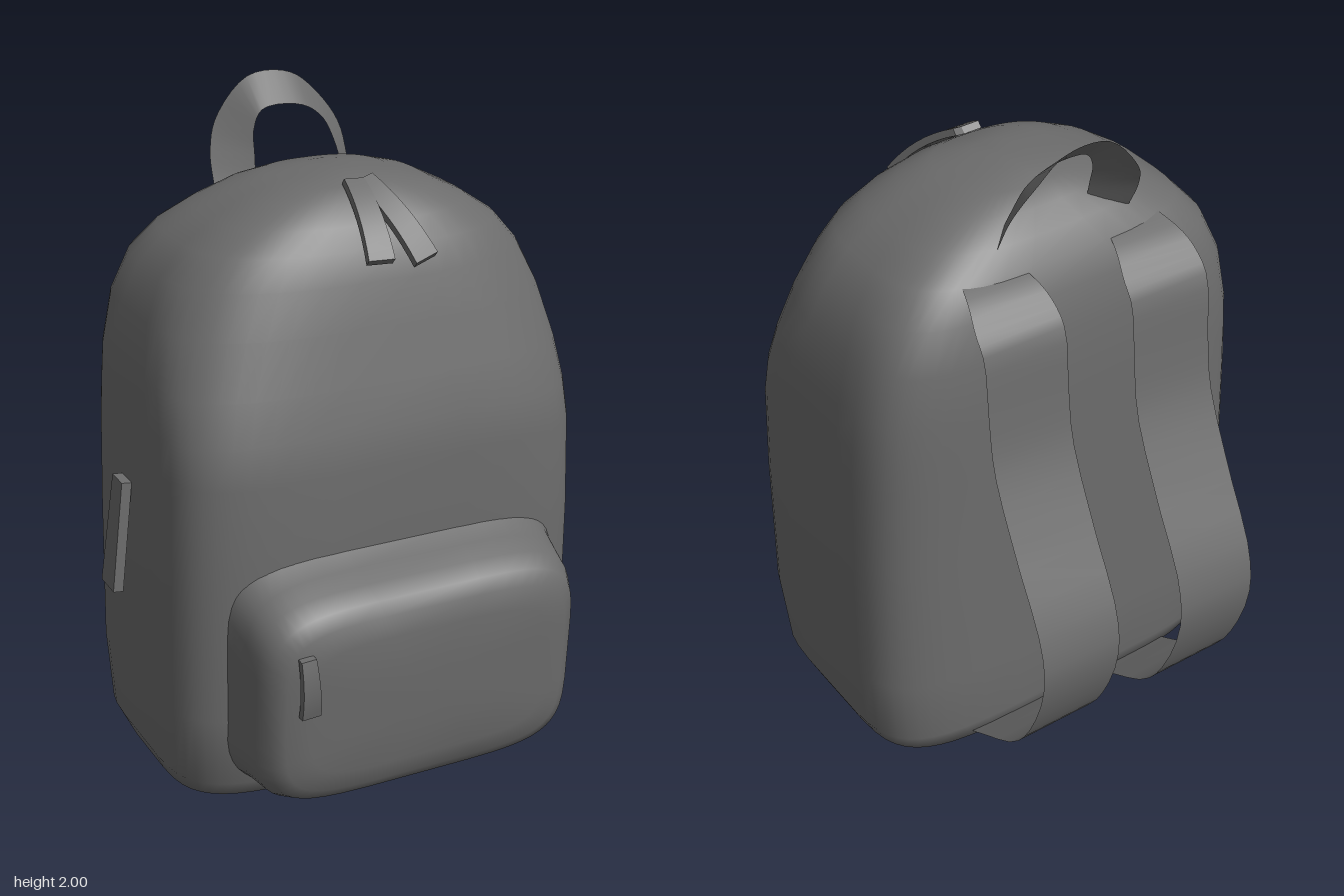
import * as THREE from 'three';

const material = new THREE.MeshStandardMaterial({ color: 0x6c6c6c });
const thinMaterial = new THREE.MeshStandardMaterial({ color: 0x6c6c6c, side: THREE.DoubleSide });
const V = (x, y, z) => new THREE.Vector3(x, y, z);
const MIDDLE = 0.03; // the pack's own centre line

function mesh(name, geometry, mat = material) {
  const m = new THREE.Mesh(geometry, mat);
  m.name = name;
  return m;
}

function indexed(points, index) {
  const g = new THREE.BufferGeometry().setFromPoints(points);
  g.setIndex(index);
  g.computeVertexNormals();
  return g;
}

// rounded-rectangle loop in unit size; a larger power gives squarer corners
function loop(frontPower, backPower, place, n = 48) {
  return Array.from({ length: n }, (_, i) => {
    const t = ((i + 0.5) / n) * Math.PI * 2;
    const power = Math.sin(t) > 0 ? frontPower : backPower;
    const soft = (v) => Math.sign(v) * Math.pow(Math.abs(v), 2 / power);
    return place(soft(Math.cos(t)), soft(Math.sin(t)));
  });
}

// smooth skin over a stack of loops, closed at both ends
function loft(rings) {
  const n = rings[0].length;
  const points = rings.flat();
  const index = [];
  for (let r = 0; r < rings.length - 1; r++) {
    for (let i = 0; i < n; i++) {
      const a = r * n + i, b = r * n + ((i + 1) % n);
      index.push(a, a + n, b, b, a + n, b + n);
    }
  }
  const centre = (ring) => ring.reduce((s, p) => s.add(p), V(0, 0, 0)).divideScalar(n);
  const first = points.push(centre(rings[0])) - 1;
  const last = points.push(centre(rings[rings.length - 1])) - 1;
  const top = (rings.length - 1) * n;
  for (let i = 0; i < n; i++) {
    const j = (i + 1) % n;
    index.push(first, i, j, last, top + j, top + i);
  }
  return indexed(points, index);
}

// flat webbing between two edge curves
function ribbon(edgeA, edgeB, steps = 33) {
  const a = new THREE.CatmullRomCurve3(edgeA), b = new THREE.CatmullRomCurve3(edgeB);
  const points = [], index = [];
  for (let i = 0; i <= steps; i++) {
    points.push(a.getPoint(i / steps), b.getPoint(i / steps));
    if (i < steps) {
      const k = i * 2;
      index.push(k, k + 2, k + 1, k + 1, k + 2, k + 3);
    }
  }
  return indexed(points, index);
}

// slightly bowed zip tag hanging from one point to another, facing outward
function zipPull(name, top, bottom, outward, width, thickness, bow) {
  const length = top.distanceTo(bottom);
  const g = new THREE.BoxGeometry(width, length, thickness, 1, 8, 1);
  const p = g.attributes.position;
  for (let i = 0; i < p.count; i++) {
    const s = (2 * p.getY(i)) / length;
    p.setZ(i, p.getZ(i) + bow * (1 - s * s));
    p.setX(i, p.getX(i) * (0.92 - 0.12 * s));
  }
  g.computeVertexNormals();
  const up = top.clone().sub(bottom).normalize();
  const side = up.clone().cross(outward).normalize();
  const m = mesh(name, g);
  m.quaternion.setFromRotationMatrix(new THREE.Matrix4().makeBasis(side, up, side.clone().cross(up)));
  m.position.copy(top).add(bottom).multiplyScalar(0.5);
  return m;
}

export function createModel() {
  const pack = new THREE.Group();
  pack.name = 'backpack';

  // main body: height, half width, back, front, squareness of front and of back
  const bodyRows = [
    [0.0, 0.1, -0.05, 0.17, 2.5, 2.5], [0.015, 0.38, -0.2, 0.26, 3.2, 3.2], [0.04, 0.54, -0.28, 0.33, 4, 4],
    [0.075, 0.6, -0.33, 0.39, 4.5, 4.5], [0.15, 0.635, -0.355, 0.45, 4.8, 4.8], [0.37, 0.65, -0.36, 0.475, 5, 5],
    [0.8, 0.645, -0.355, 0.48, 5, 5], [1.07, 0.637, -0.355, 0.478, 4.9, 5], [1.18, 0.63, -0.355, 0.465, 4.6, 5],
    [1.3, 0.62, -0.355, 0.435, 4, 4.9], [1.45, 0.59, -0.35, 0.4, 3.3, 4.7], [1.57, 0.54, -0.325, 0.37, 2.9, 4.4],
    [1.65, 0.47, -0.285, 0.34, 2.9, 4], [1.71, 0.38, -0.24, 0.3, 2.9, 3.5], [1.76, 0.28, -0.19, 0.25, 2.8, 3],
    [1.79, 0.18, -0.13, 0.2, 2.7, 2.7], [1.805, 0.07, -0.05, 0.12, 2.4, 2.4],
  ];
  pack.add(mesh('body', loft(bodyRows.map(([y, w, back, front, frontPower, backPower]) =>
    loop(frontPower, backPower, (c, s) =>
      V(MIDDLE + c * w, y, (back + front) / 2 + (s * (front - back)) / 2))))));

  // front pocket: depth, half width, bottom, top; flares where it sinks into the body
  const pocketRows = [
    [0.36, 0.545, 0.12, 0.91], [0.43, 0.525, 0.125, 0.88], [0.47, 0.513, 0.13, 0.845],
    [0.52, 0.505, 0.13, 0.815], [0.58, 0.497, 0.135, 0.79], [0.63, 0.475, 0.155, 0.76],
    [0.655, 0.44, 0.19, 0.72], [0.67, 0.37, 0.25, 0.66], [0.675, 0.2, 0.36, 0.55],
  ];
  pack.add(mesh('frontPocket', loft(pocketRows.map(([z, w, low, high]) =>
    loop(5, 5, (c, s) => {
      const y = (low + high) / 2 - (s * (high - low)) / 2;
      return V(MIDDLE + c * w, y, z + (z > 0.5 ? (y - 0.5) * 0.06 : 0));
    })))));

  // shoulder straps: height, depth and share of the full width
  const strapPath = [
    [1.66, -0.25, 0.65], [1.625, -0.335, 0.85], [1.58, -0.385, 0.97], [1.52, -0.43, 1], [1.35, -0.45, 1],
    [1.18, -0.475, 1], [0.95, -0.575, 1], [0.72, -0.69, 1], [0.57, -0.71, 1], [0.37, -0.65, 1],
    [0.24, -0.565, 1], [0.14, -0.41, 1], [0.065, -0.28, 1],
  ];
  for (const [name, x, forward] of [['leftStrap', 0.235, 0.015], ['rightStrap', -0.235, 0]]) {
    const edge = (dx) => strapPath.map(([y, z, share]) => V(MIDDLE + x + dx * share, y, z + forward));
    pack.add(mesh(name, ribbon(edge(-0.13), edge(0.13)), thinMaterial));
  }

  // carrying handle: webbing that leans back over its arch
  const outerEdge = [
    [-0.235, 1.7, -0.24], [-0.225, 1.79, -0.29], [-0.185, 1.88, -0.335], [-0.08, 1.99, -0.34],
    [0.05, 1.99, -0.335], [0.14, 1.92, -0.33], [0.195, 1.83, -0.3], [0.2, 1.71, -0.24],
  ];
  const innerEdge = [
    [-0.13, 1.7, -0.18], [-0.12, 1.79, -0.21], [-0.11, 1.86, -0.235], [-0.075, 1.91, -0.25],
    [0.05, 1.91, -0.25], [0.11, 1.87, -0.24], [0.14, 1.8, -0.22], [0.15, 1.71, -0.18],
  ];
  const handleEdge = (edge) => edge.map(([x, y, z]) => V(MIDDLE + x, y, z));
  pack.add(mesh('handle', ribbon(handleEdge(outerEdge), handleEdge(innerEdge)), thinMaterial));

  // zip tags
  pack.add(
    zipPull('leftTopZipPull', V(0.045, 1.805, 0.2), V(0.135, 1.62, 0.4), V(0, 0.7, 0.7), 0.075, 0.022, 0.02),
    zipPull('rightTopZipPull', V(0.015, 1.805, 0.2), V(0.0, 1.63, 0.395), V(0, 0.7, 0.7), 0.075, 0.022, 0.02),
    zipPull('pocketZipPull', V(-0.36, 0.655, 0.68), V(-0.35, 0.475, 0.675), V(0, 0, 1), 0.055, 0.022, 0.012),
    zipPull('sideZipPull', V(-0.625, 0.98, 0.036), V(-0.665, 0.65, 0.03), V(-1, 0, 0), 0.09, 0.03, 0),
  );

  // the pack stands turned towards its left
  pack.rotation.y = THREE.MathUtils.degToRad(68);
  const model = new THREE.Group();
  model.add(pack);
  return model;
}
